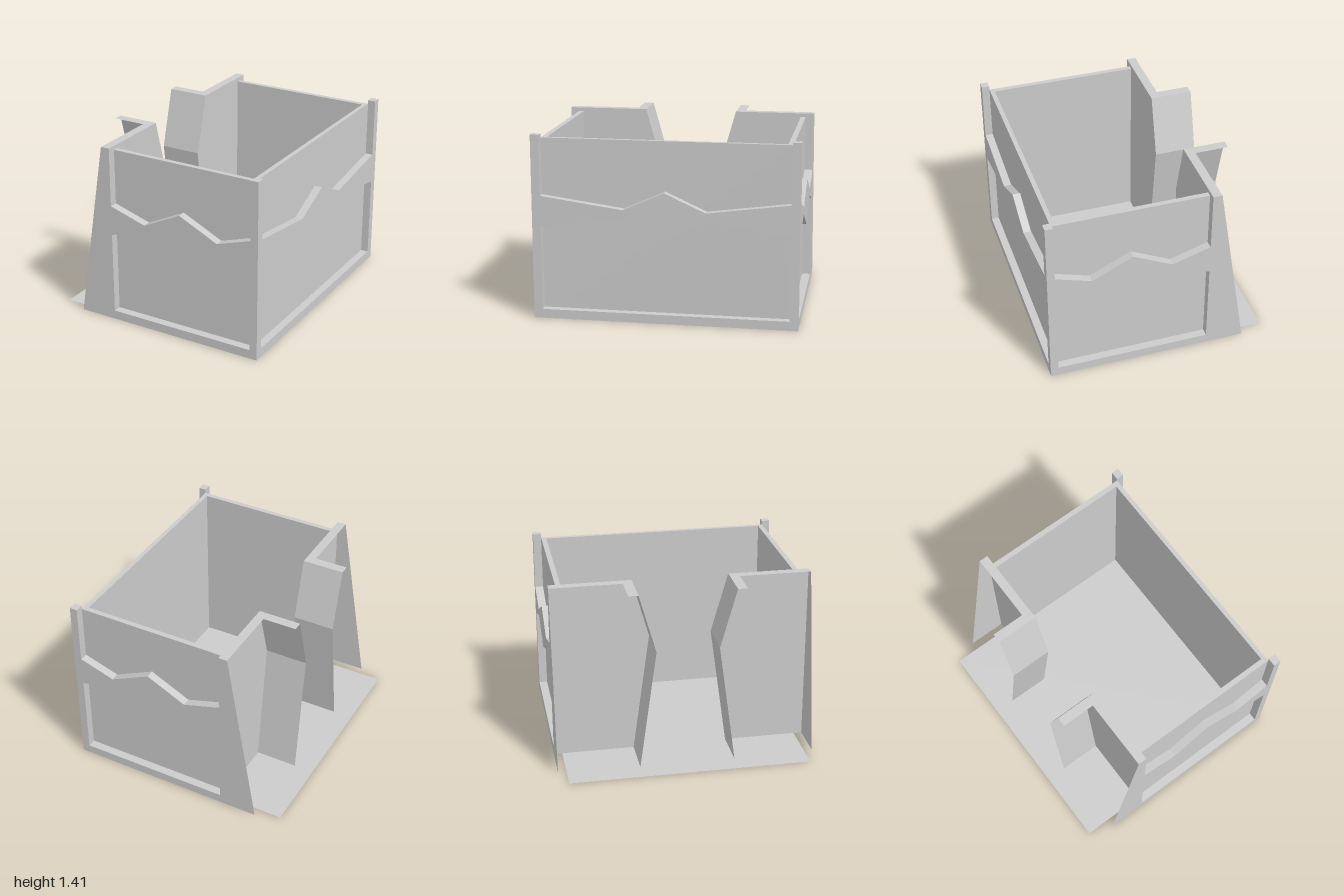
import * as THREE from 'three';

const solid = new THREE.MeshStandardMaterial({ color: 0xcccccc, flatShading: true });
const thin = new THREE.MeshStandardMaterial({ color: 0xcccccc, flatShading: true, side: THREE.DoubleSide });

const TOP = 1.41, PANEL_TOP = 1.38, RAIL = 0.07;
const LEFT = -0.385, RIGHT = 0.805, OUT_X = 0.865; // recess limits and outer face in x
const LIP = -0.455, IN_Z = 0.935;

function add(parent, name, geometry, material = solid) {
  const mesh = new THREE.Mesh(geometry, material);
  mesh.name = name;
  parent.add(mesh);
  return mesh;
}

// Box given by its limits
function box(parent, name, x0, x1, y0, y1, z0, z1) {
  const g = new THREE.BoxGeometry(x1 - x0, y1 - y0, z1 - z0);
  g.translate((x0 + x1) / 2, (y0 + y1) / 2, (z0 + z1) / 2);
  return add(parent, name, g);
}

// Thin strip between two paths of [x, y, z] points
function sheet(parent, name, a, b) {
  const pos = [];
  for (let i = 0; i < a.length - 1; i++) {
    pos.push(...a[i], ...b[i], ...b[i + 1], ...a[i], ...b[i + 1], ...a[i + 1]);
  }
  const g = new THREE.BufferGeometry();
  g.setAttribute('position', new THREE.Float32BufferAttribute(pos, 3));
  g.computeVertexNormals();
  return add(parent, name, g, thin);
}

// Zigzag band: upper and lower edges over five stations
function bandGeometry(stations, upper, lower, depth) {
  const points = [
    ...stations.map((u, i) => new THREE.Vector2(u, lower[i])),
    ...stations.map((u, i) => new THREE.Vector2(u, upper[i])).reverse(),
  ];
  return new THREE.ExtrudeGeometry(new THREE.Shape(points), { depth, bevelEnabled: false });
}

export function createModel() {
  const model = new THREE.Group();
  model.name = 'panelledEnclosure';

  sheet(model, 'floor',
    [[-0.87, 0.002, -IN_Z], [RIGHT, 0.002, -IN_Z]],
    [[-0.87, 0.002, IN_Z], [RIGHT, 0.002, IN_Z]]);

  // Closed long side
  const side = new THREE.Group();
  side.name = 'sideWall';
  model.add(side);
  box(side, 'sidePanel', 0.77, RIGHT, 0, PANEL_TOP, -IN_Z, IN_Z);
  box(side, 'sideBottomRail', RIGHT, OUT_X, 0, RAIL, -IN_Z, IN_Z);
  const sideBand = bandGeometry([-IN_Z, -0.31, 0, 0.31, IN_Z],
    [0.95, 0.865, 1.005, 0.865, 0.95], [0.715, 0.8, 0.655, 0.8, 0.715], OUT_X - RIGHT);
  sideBand.rotateY(-Math.PI / 2).translate(OUT_X, 0, 0);
  add(side, 'sideZigzagBand', sideBand);

  // Mirrored end walls and the wings of the entrance
  for (const s of [1, -1]) {
    const end = new THREE.Group();
    end.name = s > 0 ? 'frontWall' : 'backWall';
    model.add(end);
    const span = (a, b) => (s > 0 ? [a, b] : [-b, -a]);

    box(end, 'endPanel', LEFT, 0.77, 0, PANEL_TOP, ...span(0.895, IN_Z));
    box(end, 'endBottomRail', LEFT, RIGHT, 0, RAIL, ...span(IN_Z, 1));
    box(end, 'cornerPost', RIGHT, OUT_X, 0, TOP, ...span(IN_Z, 1));
    const band = bandGeometry([LEFT, -0.09, 0.215, 0.53, RIGHT],
      [0.95, 0.86, 1.01, 0.86, 0.95], [0.715, 0.805, 0.65, 0.805, 0.715], 1 - IN_Z);
    band.translate(0, 0, span(IN_Z, 1)[0]);
    add(end, 'endZigzagBand', band);

    // Slanted fin beside the recess
    sheet(end, 'slantedFin',
      [[LEFT, 0, s], [LEFT, TOP, s]], [[-0.685, 0, s], [LIP, TOP, s]]);

    // Entrance wall whose inner edge bends with the wing
    const profile = [[TOP, 0.37], [0.95, 0.24], [0, 0.37]];
    sheet(end, 'entranceWall',
      profile.map(([y]) => [LEFT, y, s]),
      profile.map(([y, z]) => [LEFT, y, s * z]));
    sheet(end, 'bentWing',
      profile.map(([y, z]) => [LEFT, y, s * z]),
      profile.map(([y, z]) => [-0.715, y, s * z]));

    // L-shaped top lip
    sheet(end, 'wallLip',
      [[LIP, TOP, s], [LIP, TOP, s * 0.445]], [[LEFT, TOP, s], [LEFT, TOP, s * 0.445]]);
    sheet(end, 'wingLip',
      [[-0.715, TOP, s * 0.445], [-0.715, TOP, s * 0.37]],
      [[LEFT, TOP, s * 0.445], [LEFT, TOP, s * 0.37]]);
  }
  return model;
}
